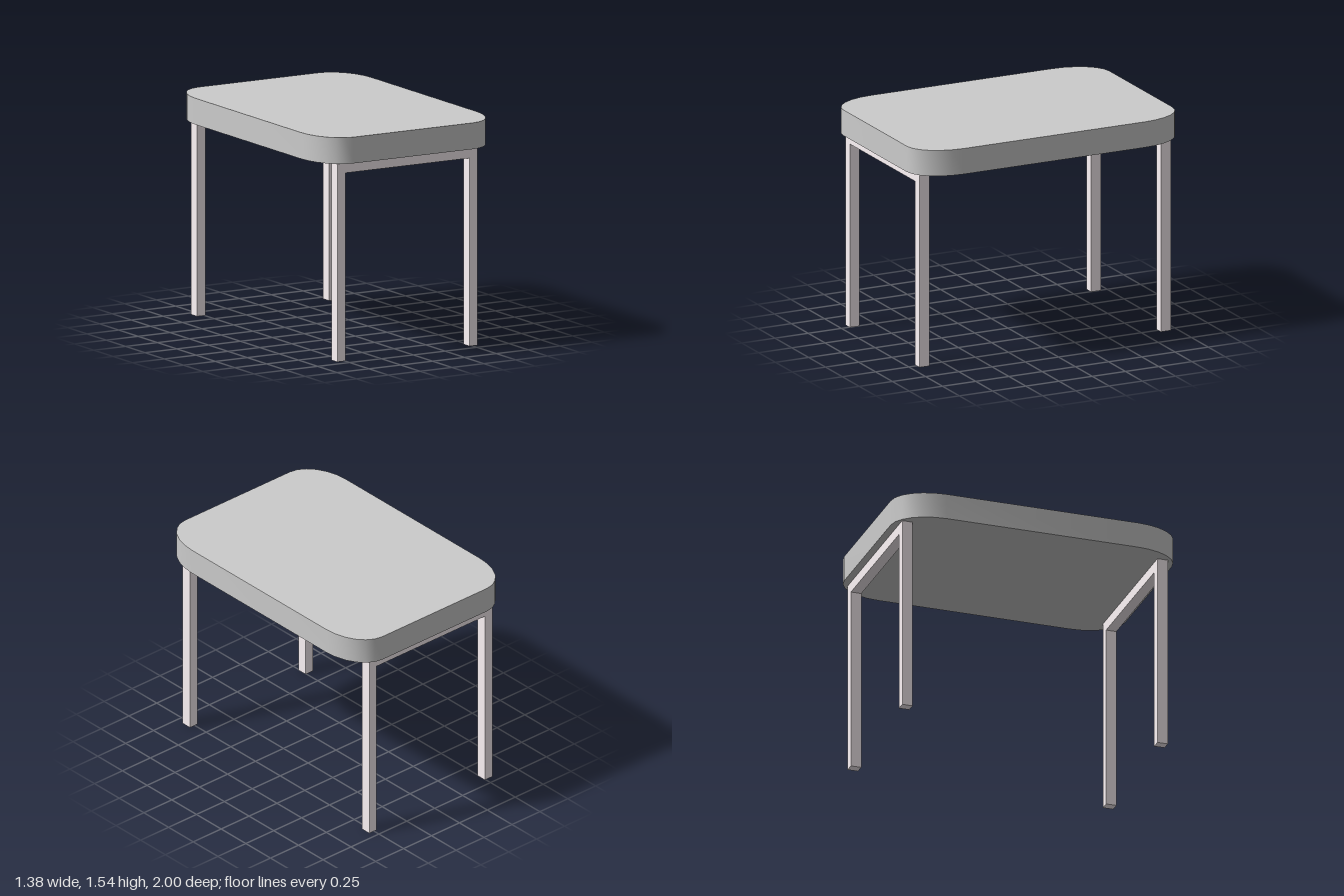
import * as THREE from 'three';
import { toCreasedNormals } from 'three/addons/utils/BufferGeometryUtils.js';

// Slab outline: rectangle with elliptical corners
function slabShape(hx, hz, rx, rz, segments) {
  const points = [];
  const corners = [[1, 1], [-1, 1], [-1, -1], [1, -1]];
  corners.forEach(([sx, sz], i) => {
    for (let k = 0; k <= segments; k++) {
      const a = (i + k / segments) * Math.PI / 2;
      points.push(new THREE.Vector2(
        sx * (hx - rx) + rx * Math.cos(a),
        sz * (hz - rz) + rz * Math.sin(a)));
    }
  });
  return new THREE.Shape(points);
}

// Upside-down U: two legs joined by a top rail
function frameShape(left, right, height, legWidth, railHeight) {
  const under = height - railHeight;
  return new THREE.Shape([
    [left, 0], [left + legWidth, 0], [left + legWidth, under],
    [right - legWidth, under], [right - legWidth, 0], [right, 0],
    [right, height], [left, height],
  ].map(([x, y]) => new THREE.Vector2(x, y)));
}

export function createModel() {
  const model = new THREE.Group();
  model.name = 'table';
  const topMaterial = new THREE.MeshStandardMaterial({ color: 0xcccccc });
  const frameMaterial = new THREE.MeshStandardMaterial({ color: 0xfef5f8 });

  // Thick top with rounded corners
  const topHeight = 1.54, frameHeight = 1.36;
  const slab = new THREE.ExtrudeGeometry(slabShape(0.69, 1, 0.22, 0.32, 6), {
    depth: topHeight - frameHeight, bevelEnabled: false,
  });
  slab.rotateX(-Math.PI / 2);
  const top = new THREE.Mesh(toCreasedNormals(slab, 0.7), topMaterial);
  top.name = 'tableTop';
  top.position.y = frameHeight;
  model.add(top);

  // Leg frames at front and back
  const depth = 0.074;
  const frame = new THREE.ExtrudeGeometry(
    frameShape(-0.56, 0.542, frameHeight, 0.066, 0.073),
    { depth, bevelEnabled: false });
  for (const [name, z] of [['frontLegFrame', 0.866], ['backLegFrame', -0.95]]) {
    const mesh = new THREE.Mesh(frame, frameMaterial);
    mesh.name = name;
    mesh.position.z = z;
    model.add(mesh);
  }
  return model;
}
